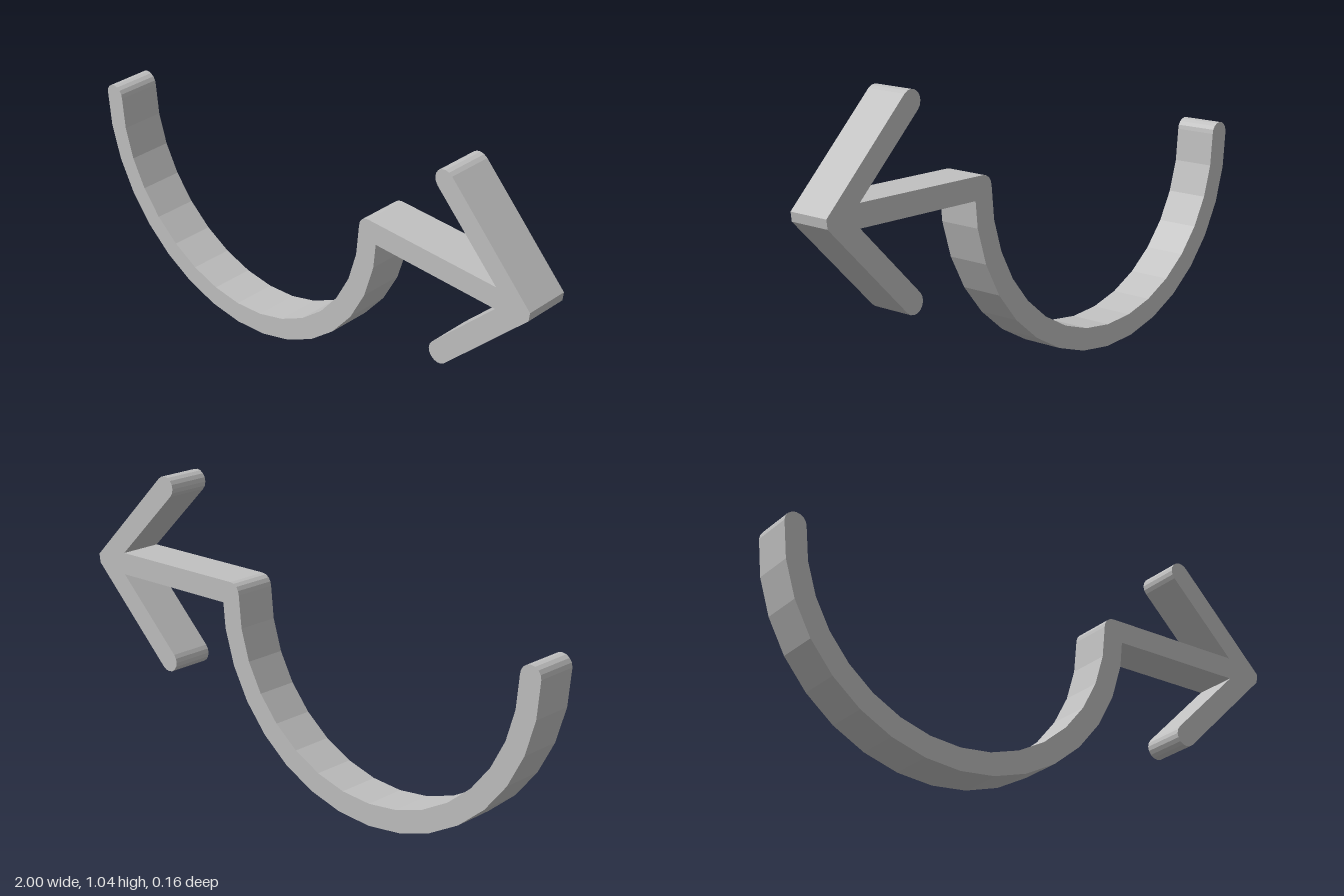
import * as THREE from 'three';

const WIDTH = 0.08, DEPTH = 0.16, MID_Y = 0.68;
const HALF = WIDTH / 2;
const ARC_X = -0.32, ARC_R = 0.64;

// Points of a circular arc, angles in degrees
function arc(cx, cy, r, from, to, steps) {
  return Array.from({ length: steps + 1 }, (_, i) => {
    const a = THREE.MathUtils.degToRad(from + ((to - from) * i) / steps);
    return new THREE.Vector2(cx + r * Math.cos(a), cy + r * Math.sin(a));
  });
}

export function createModel() {
  const group = new THREE.Group();
  group.name = 'curvedArrow';
  const grey = new THREE.MeshStandardMaterial({ color: 0xc0c0c0 });
  grey.name = 'grey';

  const p = (x, y) => new THREE.Vector2(x, y);
  const notch = 0.96 - HALF * Math.SQRT2 - HALF; // where shaft meets barbs
  const outline = [
    // outside of the bowl, left to right
    ...arc(ARC_X, MID_Y, ARC_R + HALF, 180, 360, 16).slice(0, -1),
    // underside of the shaft
    p(0.356, MID_Y - HALF),
    p(notch, MID_Y - HALF),
    // lower barb, tip, upper barb
    ...arc(0.64, 0.36, HALF, 135, 315, 8),
    p(0.996, 0.66),
    p(1, 0.692),
    ...arc(0.64, 1.0, HALF, 45, 225, 8),
    // top of the shaft and rounded elbow
    p(notch, MID_Y + HALF),
    ...arc(0.32, MID_Y, HALF, 90, 180, 4),
    // inside of the bowl, right to left
    ...arc(ARC_X, MID_Y, ARC_R - HALF, 360, 180, 16).slice(1, -1),
    // rounded free end
    ...arc(ARC_X - ARC_R, MID_Y, HALF, 0, 180, 8).slice(0, -1),
  ];

  const geometry = new THREE.ExtrudeGeometry(new THREE.Shape(outline), {
    depth: DEPTH,
    bevelEnabled: false,
  });
  geometry.translate(0, 0, -DEPTH / 2);
  const hook = new THREE.Mesh(geometry, grey);
  hook.name = 'arrowBand';
  group.add(hook);
  return group;
}
